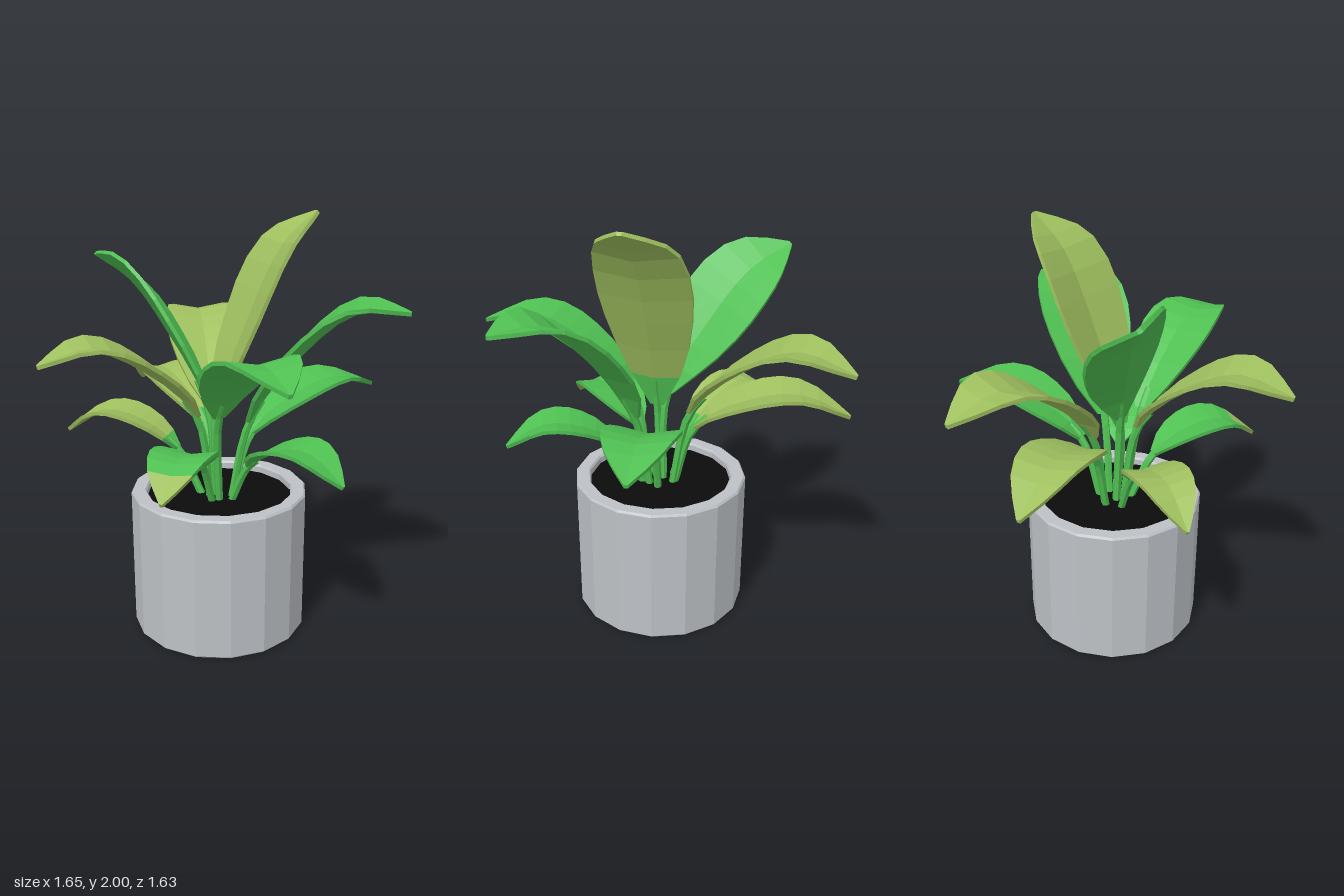
import * as THREE from 'three';

const mat = (name, color) => {
  const m = new THREE.MeshStandardMaterial({ color });
  m.name = name;
  return m;
};

const CENTRE = new THREE.Vector3(-0.045, 0, 0.04);
const UP = new THREE.Vector3(0, 1, 0);

// Half-width of a blade along its length, as a fraction of the widest point
const PROFILE = [0.16, 0.55, 0.8, 0.94, 1, 0.98, 0.88, 0.7, 0.4, 0.05];
const ROWS = PROFILE.length - 1;
// Sideways positions across a blade, as a fraction of the half-width
const ACROSS = [1, 0.5, 0, -0.5, -1];

// Blade base and tip, height of the arch, half-width, and the row where olive begins
const LEAVES = [
  { name: 'tallLeaf', base: [-0.05, 1.06, 0.07], tip: [0.36, 1.99, -0.2], rise: 0.16, width: 0.22, olive: 1 },
  { name: 'upperRightLeaf', base: [-0.1, 1.12, 0.05], tip: [-0.71, 1.78, -0.13], rise: 0.11, width: 0.2, roll: 0.55 },
  { name: 'upperLeftLeaf', base: [0.11, 1.05, 0.05], tip: [0.82, 1.59, 0.08], rise: 0.165, width: 0.22 },
  { name: 'upperFrontLeaf', base: [0, 1.1, 0.2], tip: [0.44, 1.4, 0.81], rise: 0.145, width: 0.18 },
  { name: 'upperFrontRightLeaf', base: [-0.13, 1.08, 0.13], tip: [-0.69, 1.38, 0.58], rise: 0.145, width: 0.19, olive: 0 },
  { name: 'upperBackLeaf', base: [-0.12, 1.06, -0.1], tip: [-0.42, 1.38, -0.81], rise: 0.16, width: 0.19, olive: 0 },
  { name: 'lowerBackRightLeaf', base: [-0.15, 0.97, -0.1], tip: [-0.67, 1.05, -0.61], rise: 0.12, width: 0.16, olive: 0 },
  { name: 'lowerRightLeaf', base: [-0.25, 0.88, 0.05], tip: [-0.82, 0.93, 0.05], rise: 0.12, width: 0.13, olive: 1 },
  { name: 'lowerFrontLeaf', base: [-0.07, 0.88, 0.24], tip: [-0.08, 0.9, 0.78], rise: 0.105, width: 0.14, olive: 7 },
  { name: 'lowerFrontLeftLeaf', base: [0.13, 0.86, 0.14], tip: [0.6, 0.9, 0.41], rise: 0.105, width: 0.14 },
  { name: 'lowerBackLeftLeaf', base: [0.09, 0.95, -0.08], tip: [0.61, 1.11, -0.55], rise: 0.105, width: 0.17 },
];

// Spine from the soil to the blade base, then arching over to the tip
function leafSpine(leaf) {
  const base = new THREE.Vector3(...leaf.base);
  const tip = new THREE.Vector3(...leaf.tip);
  const arch = (t, lift) => base.clone().lerp(tip, t).addScaledVector(UP, leaf.rise * lift);
  const root = CENTRE.clone().lerp(base, 0.4).setY(0.64);
  return new THREE.CatmullRomCurve3([root, base, arch(1 / 3, 0.95), arch(2 / 3, 1.05), tip]);
}
const BLADE_START = 1 / 4;

// A closed thin blade, slightly folded along its midrib, swept over the spine
function bladeGeometry(curve, { width, roll = 0, olive = ROWS }) {
  const heading = curve.getPoint(1).sub(curve.getPoint(BLADE_START)).setY(0).normalize();
  const across = heading.clone().cross(UP).normalize();
  const rings = PROFILE.map((p, i) => {
    const u = BLADE_START + (1 - BLADE_START) * i / ROWS;
    const centre = curve.getPoint(u);
    const tangent = curve.getTangent(u);
    const side = across.clone().addScaledVector(tangent, -across.dot(tangent)).normalize();
    side.applyAxisAngle(tangent, roll);
    const normal = side.clone().cross(tangent);
    const half = p * width;
    const point = (s, thickness) => centre.clone()
      .addScaledVector(side, s * half)
      .addScaledVector(normal, Math.abs(s) * half * 0.18 + thickness);
    return [...ACROSS.map((s) => point(s, 0.009)), ...ACROSS.map((s) => point(-s, -0.009))];
  });

  const pos = [];
  const tri = (...vs) => vs.forEach((v) => pos.push(v.x, v.y, v.z));
  const geo = new THREE.BufferGeometry();
  const n = rings[0].length;
  const cap = (r, flip) => {
    for (let j = 0; j < n / 2 - 1; j++) {
      const [a, b, c, d] = [r[j], r[j + 1], r[n - 2 - j], r[n - 1 - j]];
      if (flip) { tri(a, c, b); tri(a, d, c); } else { tri(a, b, c); tri(a, c, d); }
    }
  };
  for (let i = 0; i < ROWS; i++) {
    const start = pos.length / 3;
    const [r, q] = [rings[i], rings[i + 1]];
    if (i === 0) cap(r, false);
    for (let j = 0; j < n; j++) {
      const k = (j + 1) % n;
      tri(r[j], q[j], r[k]);
      tri(r[k], q[j], q[k]);
    }
    if (i === ROWS - 1) cap(q, true);
    geo.addGroup(start, pos.length / 3 - start, i >= olive ? 1 : 0);
  }
  geo.setAttribute('position', new THREE.Float32BufferAttribute(pos, 3));
  geo.computeVertexNormals();
  return geo;
}

// Separate faces give a faceted look
function flat(geometry) {
  const g = geometry.toNonIndexed();
  g.computeVertexNormals();
  return g;
}

export function createModel() {
  const green = mat('leaf green', 0x4fc052);
  const olive = mat('olive green', 0x9fc05f);
  const grey = mat('pot grey', 0xbdc1c5);
  const black = mat('soil black', 0x0b0b0b);
  const model = new THREE.Group();
  const add = (parent, name, geometry, material) => {
    const mesh = new THREE.Mesh(geometry, material);
    mesh.name = name;
    parent.add(mesh);
    return mesh;
  };

  // Sixteen-sided pot with a thick rim, and the soil inside
  const wall = [[0, 0], [0.415, 0], [0.425, 0.01], [0.425, 0.69], [0.417, 0.7], [0.36, 0.7], [0.352, 0.69], [0.352, 0.6]];
  const pot = add(model, 'pot', flat(new THREE.LatheGeometry(wall.map(([x, y]) => new THREE.Vector2(x, y)), 16)), grey);
  pot.position.copy(CENTRE);
  const soil = add(model, 'soil', flat(new THREE.CylinderGeometry(0.354, 0.354, 0.04, 16)), black);
  soil.position.copy(CENTRE).setY(0.64);

  // Leaves, each a stem and a blade on one shared spine
  for (const leaf of LEAVES) {
    const group = new THREE.Group();
    group.name = leaf.name;
    model.add(group);
    const curve = leafSpine(leaf);
    const stemPts = Array.from({ length: 6 }, (_, k) => curve.getPoint(BLADE_START * 1.3 * k / 5));
    const stem = new THREE.TubeGeometry(new THREE.CatmullRomCurve3(stemPts), 6, 0.019, 6);
    add(group, 'stem', flat(stem), green);
    add(group, 'blade', bladeGeometry(curve, leaf), [green, olive]);
  }
  return model;
}
